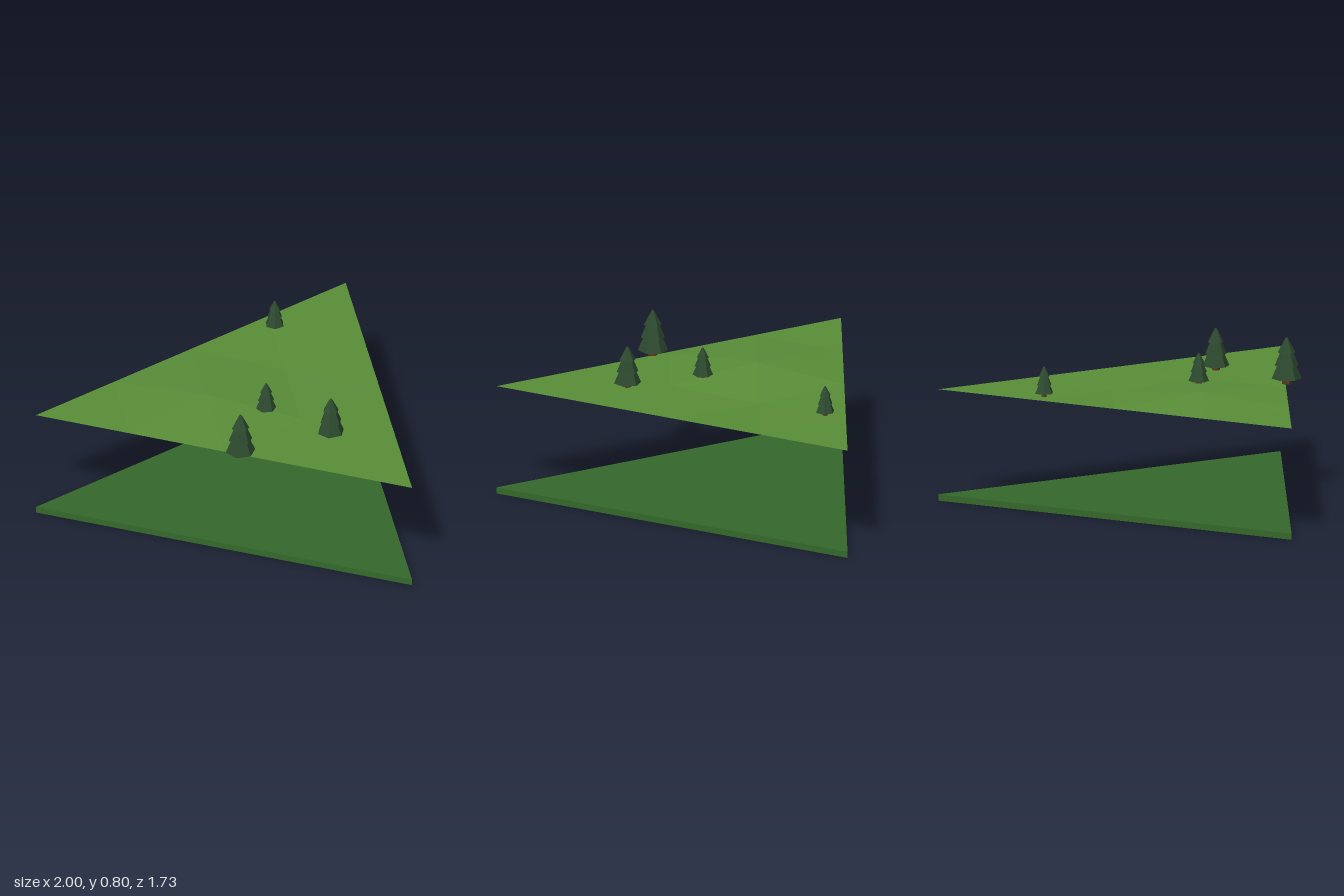
import * as THREE from 'three';

const mat = (color, side = THREE.FrontSide) =>
  new THREE.MeshStandardMaterial({ color, side, flatShading: true });
const baseMat = mat(0x35692b);
const grassMat = mat(0x5a8f38, THREE.DoubleSide);
const leafMat = mat(0x2d4a2f);
const barkMat = mat(0x5a3a1e);

const DEPTH = Math.sqrt(3) / 2; // half depth of the triangle
const N = 4; // grid divisions along each edge
const EDGE_Y = 0.566;

// Heights of the inner grid points, keyed by row and column
const bumps = { '1,1': 0.598, '1,2': 0.552, '2,1': 0.563 };

function part(name, geometry, material, y = 0) {
  const mesh = new THREE.Mesh(geometry, material);
  mesh.name = name;
  mesh.position.y = y;
  return mesh;
}

// Triangular sheet made of rows that shrink towards the front tip
function terrainGeometry() {
  const positions = [];
  const point = (row, col) => [
    -1 + row / N + (2 * col) / N,
    bumps[`${row},${col}`] ?? EDGE_Y,
    -DEPTH + (2 * DEPTH * row) / N,
  ];
  for (let r = 0; r < N; r++) {
    for (let c = 0; c < N - r; c++) {
      positions.push(...point(r, c), ...point(r + 1, c), ...point(r, c + 1));
      if (c < N - r - 1)
        positions.push(...point(r, c + 1), ...point(r + 1, c), ...point(r + 1, c + 1));
    }
  }
  const g = new THREE.BufferGeometry();
  g.setAttribute('position', new THREE.Float32BufferAttribute(positions, 3));
  g.computeVertexNormals();
  return g;
}

// Conifer of unit height: trunk and three stacked six-sided tiers
function makeTree() {
  const tree = new THREE.Group();
  tree.add(part('trunk', new THREE.CylinderGeometry(0.07, 0.1, 0.26, 6), barkMat, 0.13));
  const tiers = [
    [0.12, 0.52, 0.32, 0.15],
    [0.4, 0.78, 0.255, 0.1],
    [0.68, 1, 0.19, 0.025],
  ];
  for (const [y0, y1, bottom, top] of tiers) {
    const g = new THREE.CylinderGeometry(top, bottom, y1 - y0, 6);
    tree.add(part('foliageTier', g, leafMat, (y0 + y1) / 2));
  }
  return tree;
}

export function createModel() {
  const model = new THREE.Group();
  model.name = 'triangularTerrainTile';

  // Base slab
  const slab = new THREE.CylinderGeometry(2 / Math.sqrt(3), 2 / Math.sqrt(3), 0.032, 3);
  slab.translate(0, 0, DEPTH - 2 / Math.sqrt(3));
  model.add(part('baseSlab', slab, baseMat, 0.016));

  // Raised ground sheet
  model.add(part('terrainSheet', terrainGeometry(), grassMat));

  // Trees: x, y, z, height, turn
  const trees = [
    [-0.46, 0.565, 0.08, 0.235, 0.05],
    [0.013, 0.56, 0.214, 0.215, 0.2],
    [-0.094, 0.57, -0.163, 0.16, 0],
    [0.457, 0.564, -0.763, 0.152, 0.4],
  ];
  for (const [x, y, z, h, turn] of trees) {
    const tree = makeTree();
    tree.name = 'tree';
    tree.position.set(x, y, z);
    tree.scale.setScalar(h);
    tree.rotation.y = turn;
    model.add(tree);
  }
  return model;
}
